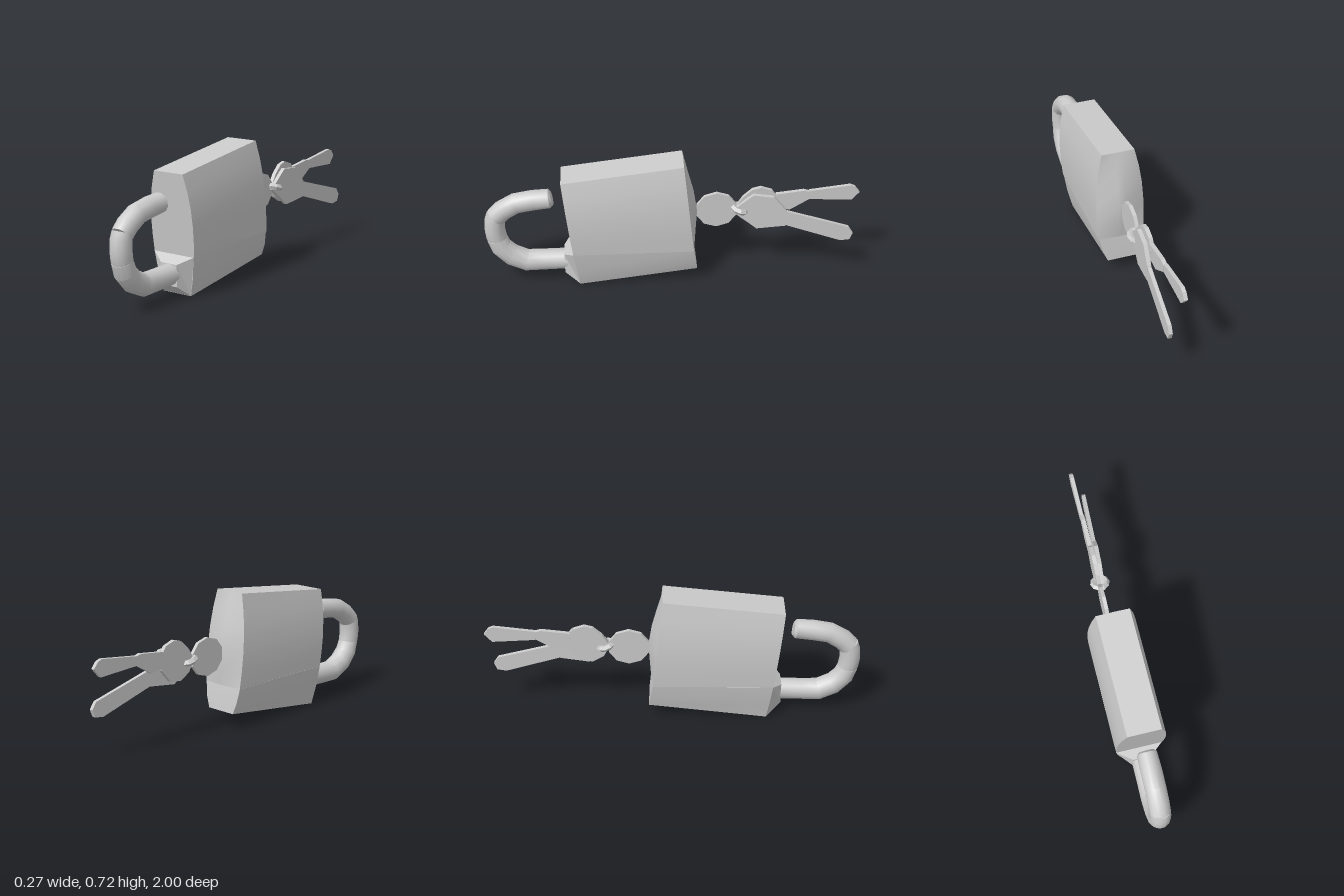
import * as THREE from 'three';
import { toCreasedNormals } from 'three/addons/utils/BufferGeometryUtils.js';

const material = new THREE.MeshStandardMaterial({ color: 0xcccccc });
const lerp = THREE.MathUtils.lerp;

// Closed solid through rings of points, each counter-clockwise about the loft direction
function loft(rings, crease = 0.5) {
  const n = rings[0].length, pos = [], idx = [];
  rings.forEach(r => r.forEach(p => pos.push(...p)));
  for (let j = 0; j < rings.length - 1; j++) {
    for (let i = 0; i < n; i++) {
      const k = (i + 1) % n, a = j * n, b = a + n;
      idx.push(a + i, a + k, b + k, a + i, b + k, b + i);
    }
  }
  const top = (rings.length - 1) * n;
  for (let i = 1; i < n - 1; i++) {
    idx.push(0, i + 1, i);
    idx.push(top, top + i, top + i + 1);
  }
  const g = new THREE.BufferGeometry();
  g.setAttribute('position', new THREE.Float32BufferAttribute(pos, 3));
  g.setIndex(idx);
  return toCreasedNormals(g, crease);
}

// Bent bar along [z, y, radius] points lying in the plane x = 0.005
function bar(path, sides = 12) {
  return loft(path.map(([z, y, r], i) => {
    const p = path[Math.max(i - 1, 0)], q = path[Math.min(i + 1, path.length - 1)];
    const t = new THREE.Vector2(q[0] - p[0], q[1] - p[1]).normalize();
    return Array.from({ length: sides }, (_, k) => {
      const a = ((k + 0.5) / sides) * Math.PI * 2, c = Math.cos(a) * r, s = Math.sin(a) * r;
      return [0.005 + c, y + s * t.x, z - s * t.y];
    });
  }), 0.6);
}

// Thin plate with a [z, y] outline, leaning sideways by slope along -z
function plate(outline, x, thickness, slope = 0, zRef = 0) {
  const shape = new THREE.Shape(outline.map(([z, y]) => new THREE.Vector2(-z, y)));
  const g = new THREE.ExtrudeGeometry(shape, { depth: thickness, bevelEnabled: false });
  g.rotateY(Math.PI / 2);
  const p = g.attributes.position;
  for (let i = 0; i < p.count; i++) {
    p.setX(i, p.getX(i) + x - thickness / 2 + (zRef - p.getZ(i)) * slope);
  }
  g.computeVertexNormals();
  return g;
}

// Round key head outline
function disc(z, y, rz, ry, n, turn) {
  return Array.from({ length: n }, (_, i) => {
    const a = turn + (i / n) * Math.PI * 2;
    return [z + Math.cos(a) * rz, y + Math.sin(a) * ry];
  });
}

export function createModel() {
  const model = new THREE.Group();
  const add = (name, geometry, parent = model) => {
    const mesh = new THREE.Mesh(geometry, material);
    mesh.name = name;
    parent.add(mesh);
    return mesh;
  };

  // Upper case: bowed sides and a bulging back, rows of [t, half width, back centre z]
  const rows = [[0, 0.126, -0.118], [0.18, 0.131, -0.124], [0.38, 0.132, -0.13],
    [0.6, 0.126, -0.112], [0.8, 0.112, -0.085], [1, 0.09, -0.056]];
  add('upperCase', loft(rows.map(([t, w, mid]) => {
    const fz = lerp(0.535, 0.585, t), fy = lerp(0.217, 0.645, t), shift = 0.007 * t;
    const bz = lerp(-0.108, -0.055, t), by = lerp(0.22, 0.72, t);
    return [[shift - w, fy, fz], [shift + w, fy, fz], [w, by, bz],
      [0.02, by, mid], [-0.02, by, mid], [-w, by, bz]];
  })));

  // Lower case
  const lower = [[-0.095, 0.082, 0, 0.505, 0.08, -0.13],
    [-0.115, 0.106, 0.1, 0.519, 0.14, -0.122],
    [-0.127, 0.123, 0.217, 0.535, 0.22, -0.108]];
  add('lowerCase', loft(lower.map(([l, r, fy, fz, by, bz]) =>
    [[l, fy, fz], [r, fy, fz], [r, by, bz], [l, by, bz]])));

  // Tapered collar where the shackle enters the lower case
  add('shackleCollar', loft([
    [[-0.095, 0.001, 0.505], [0.082, 0.001, 0.505], [0.123, 0.215, 0.535], [-0.127, 0.215, 0.535]],
    [[-0.045, 0.062, 0.585], [0.055, 0.062, 0.585], [0.055, 0.178, 0.585], [-0.045, 0.178, 0.585]],
  ], 0.1));

  // Shackle in three bent pieces
  const shackle = new THREE.Group();
  shackle.name = 'shackle';
  model.add(shackle);
  add('shackleFreeArm', bar([[0.638, 0.508, 0.038], [0.652, 0.505, 0.053], [0.74, 0.497, 0.056],
    [0.83, 0.481, 0.056], [0.9, 0.44, 0.056], [0.94, 0.4, 0.055]]), shackle);
  add('shackleMiddle', bar([[0.936, 0.415, 0.052], [0.946, 0.38, 0.055], [0.949, 0.32, 0.055],
    [0.944, 0.28, 0.055], [0.935, 0.25, 0.052]]), shackle);
  add('shackleFixedArm', bar([[0.943, 0.27, 0.054], [0.922, 0.21, 0.058], [0.87, 0.155, 0.06],
    [0.79, 0.117, 0.06], [0.7, 0.118, 0.058], [0.56, 0.121, 0.057]]), shackle);

  // Key sitting in the lock, only its bow showing
  add('insertedKey', plate(disc(-0.235, 0.4, 0.112, 0.104, 10, Math.PI / 10), -0.006, 0.02));

  // Link ring joining the keys
  const ring = add('keyRing', toCreasedNormals(new THREE.TorusGeometry(0.036, 0.018, 5, 10), 0.5));
  ring.rotation.x = Math.PI / 2 - 0.3;
  ring.position.set(0.002, 0.405, -0.36);

  // Raised key: bow, neck and blade
  const raised = new THREE.Group();
  raised.name = 'raisedKey';
  model.add(raised);
  add('raisedKeyBow', plate([[-0.335, 0.41], [-0.375, 0.475], [-0.425, 0.52], [-0.47, 0.532],
    [-0.53, 0.512], [-0.565, 0.46], [-0.56, 0.39], [-0.5, 0.32], [-0.43, 0.31], [-0.37, 0.345]],
    -0.006, 0.022), raised);
  add('raisedKeyNeck', plate([[-0.55, 0.487], [-0.7, 0.505], [-0.735, 0.495], [-0.735, 0.455],
    [-0.63, 0.39], [-0.55, 0.4]], -0.007, 0.022), raised);
  add('raisedKeyBlade', plate([[-0.73, 0.5], [-0.95, 0.528], [-0.975, 0.518], [-1, 0.485],
    [-0.96, 0.438], [-0.73, 0.45]], -0.01, 0.02), raised);

  // Lowered key, leaning outward
  const lowered = new THREE.Group();
  lowered.name = 'loweredKey';
  model.add(lowered);
  add('loweredKeyBow', plate([[-0.315, 0.4], [-0.4, 0.475], [-0.43, 0.5], [-0.54, 0.487],
    [-0.61, 0.4], [-0.605, 0.31], [-0.45, 0.292], [-0.41, 0.325]], 0.014, 0.022, 0.06, -0.36), lowered);
  add('loweredKeyBlade', plate([[-0.6, 0.4], [-0.945, 0.3], [-0.97, 0.262], [-0.955, 0.222],
    [-0.905, 0.215], [-0.6, 0.315]], 0.014, 0.02, 0.057, -0.36), lowered);

  return model;
}
